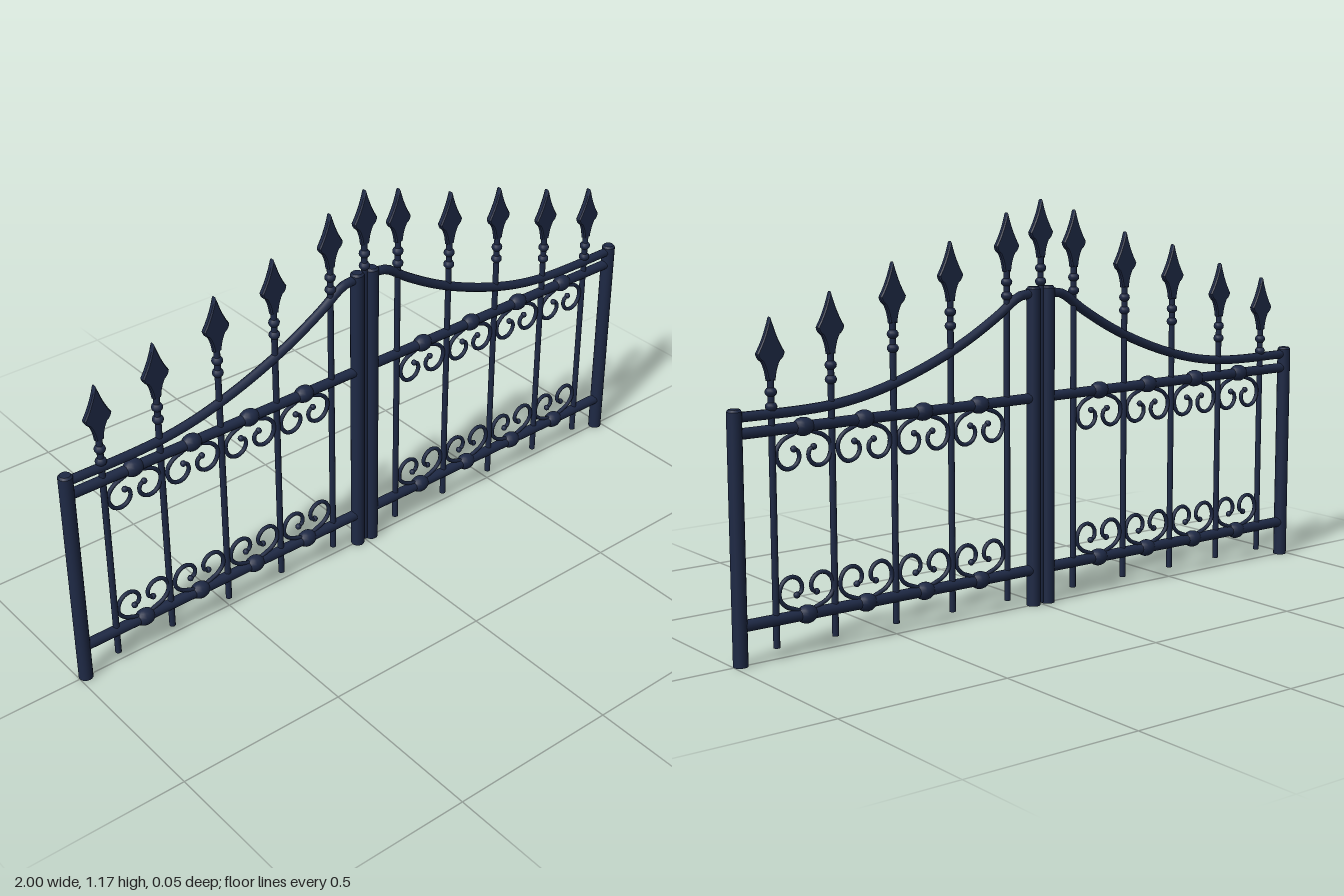
import * as THREE from 'three';

const iron = new THREE.MeshStandardMaterial({ color: 0x1e2945 });
iron.name = 'dark navy iron';

function add(parent, name, geometry, x = 0, y = 0, z = 0) {
  const mesh = new THREE.Mesh(geometry, iron);
  mesh.name = name;
  mesh.position.set(x, y, z);
  parent.add(mesh);
  return mesh;
}

// Upright round bar from y0 to y1
function bar(parent, name, x, y0, y1, r, sides = 12) {
  return add(parent, name, new THREE.CylinderGeometry(r, r, y1 - y0, sides), x, (y0 + y1) / 2);
}

// Post with a slightly chamfered top
function post(parent, name, x, height) {
  const profile = [[0, 0], [0.02, 0], [0.02, 0], [0.02, height - 0.006], [0.02, height - 0.006], [0.015, height], [0.015, height], [0, height]];
  add(parent, name, new THREE.LatheGeometry(profile.map(p => new THREE.Vector2(...p)), 16), x);
}

// Flat spear head, tip at the origin
function spearGeometry() {
  const s = new THREE.Shape();
  s.moveTo(0, -0.002);
  s.quadraticCurveTo(0.012, -0.05, 0.037, -0.09);
  s.quadraticCurveTo(0.034, -0.103, 0.024, -0.108);
  s.quadraticCurveTo(0.012, -0.128, 0.009, -0.158);
  s.lineTo(-0.009, -0.158);
  s.quadraticCurveTo(-0.012, -0.128, -0.024, -0.108);
  s.quadraticCurveTo(-0.034, -0.103, -0.037, -0.09);
  s.quadraticCurveTo(-0.012, -0.05, 0, -0.002);
  return new THREE.ExtrudeGeometry(s, {
    depth: 0.01, bevelEnabled: true, bevelThickness: 0.004, bevelSize: 0.003, bevelSegments: 1, curveSegments: 5,
  }).translate(0, 0, -0.005);
}

// Picket: shaft, two collar beads and a spear head
function picket(parent, x, y0, tip) {
  const g = new THREE.Group();
  g.name = 'picket';
  bar(g, 'shaft', x, y0, tip - 0.14, 0.009);
  for (const d of [0.19, 0.228]) {
    add(g, 'collarBead', new THREE.SphereGeometry(0.016, 12, 8).scale(1, 0.85, 1), x, tip - d);
  }
  add(g, 'spearHead', spearGeometry(), x, tip);
  parent.add(g);
}

// Curled scroll leaving a rail knob; sx and sy mirror it
function scroll(parent, x, y, sx, sy) {
  const points = [
    [0.008, 0.008], [0.035, 0.018], [0.062, 0.03], [0.08, 0.052], [0.08, 0.078], [0.066, 0.1],
    [0.045, 0.107], [0.025, 0.099], [0.014, 0.08], [0.018, 0.062], [0.03, 0.056],
  ].map(([a, b]) => new THREE.Vector3(a * sx, b * sy, 0));
  const curve = new THREE.CatmullRomCurve3(points);
  add(parent, 'scroll', new THREE.TubeGeometry(curve, 36, 0.006, 8), x, y);
  add(parent, 'scrollTip', new THREE.SphereGeometry(0.009, 10, 8), x + 0.03 * sx, y + 0.056 * sy);
}

// One gate leaf; side is +1 or -1
function leaf(side) {
  const g = new THREE.Group();
  g.name = side > 0 ? 'leftLeaf' : 'rightLeaf';
  post(g, 'hingePost', side * 0.98, 0.67);
  post(g, 'meetingPost', side * 0.026, 0.922);

  // Straight rails with knobs and scrolls
  for (const [y, r, dir] of [[0.605, 0.015, -1], [0.105, 0.016, 1]]) {
    const rail = new THREE.CylinderGeometry(r, r, 0.95, 12).rotateZ(Math.PI / 2);
    add(g, 'rail', rail, side * 0.503, y);
    for (const x of [0.217, 0.405, 0.595, 0.78]) {
      const knob = new THREE.SphereGeometry(0.025, 14, 10).scale(1.25, 1, 0.95);
      add(g, 'railKnob', knob, side * x, y);
      for (const sx of [-1, 1]) scroll(g, side * x, y, sx, dir);
    }
  }

  // Sweeping top rail
  const path = [
    [0.03, 0.902], [0.075, 0.897], [0.155, 0.845], [0.257, 0.787], [0.36, 0.74],
    [0.47, 0.7], [0.58, 0.67], [0.68, 0.654], [0.78, 0.648], [0.98, 0.648],
  ].map(([x, y]) => new THREE.Vector3(side * x, y, 0));
  add(g, 'sweptTopRail', new THREE.TubeGeometry(new THREE.CatmullRomCurve3(path), 48, 0.0135, 10));

  // Pickets stepping down toward the hinge
  for (const [x, tip] of [[0.12, 1.13], [0.312, 1.06], [0.5, 1.014], [0.694, 0.948], [0.873, 0.894]]) {
    picket(g, side * x, 0.03, tip);
  }
  return g;
}

export function createModel() {
  const gate = new THREE.Group();
  gate.name = 'gate';
  gate.add(leaf(1), leaf(-1));
  // Centre picket between the meeting posts
  picket(gate, 0, 0.005, 1.163);
  return gate;
}
